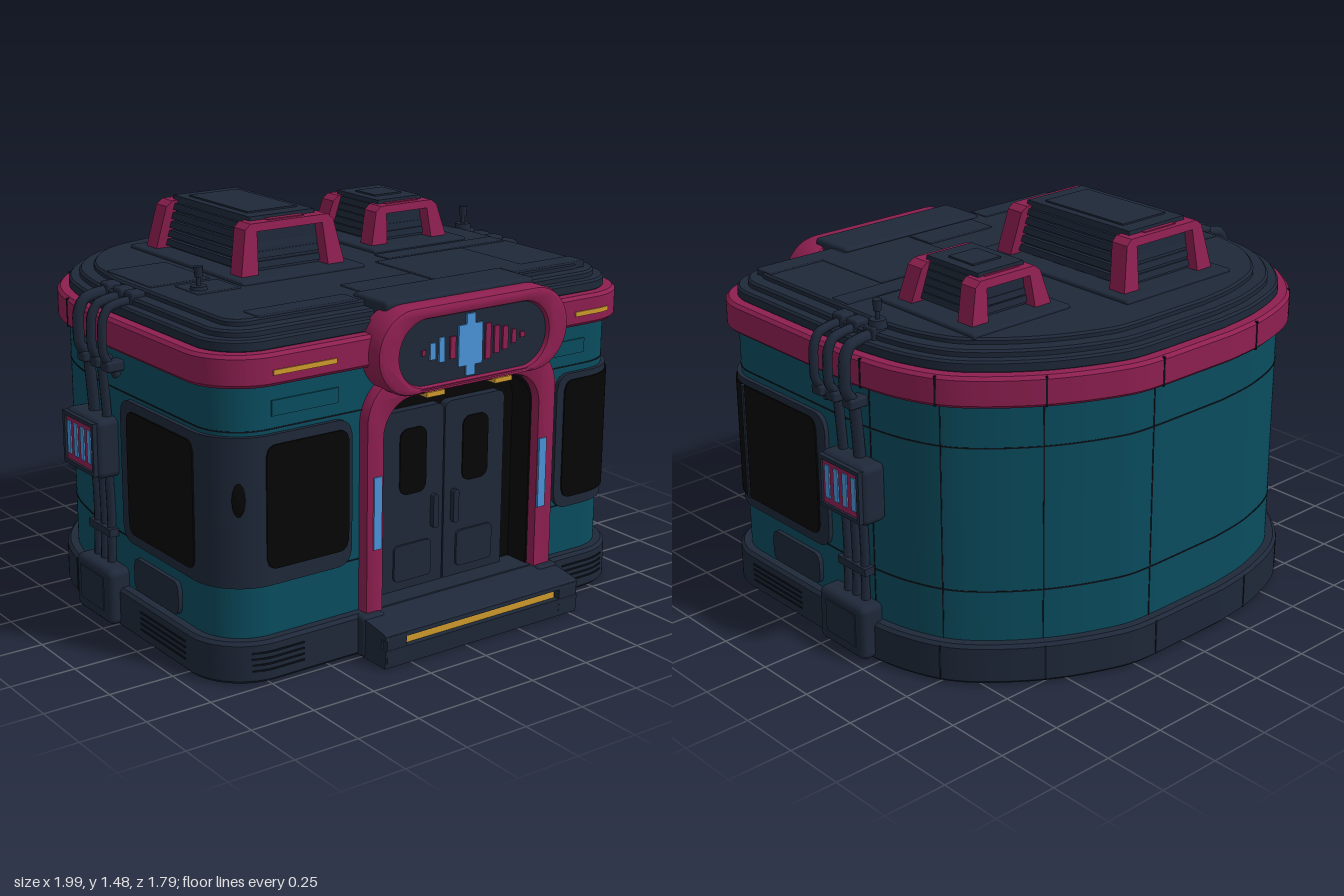
import * as THREE from 'three';
import { toCreasedNormals } from 'three/addons/utils/BufferGeometryUtils.js';
import { RoundedBoxGeometry } from 'three/addons/geometries/RoundedBoxGeometry.js';

const mat = (name, color) => Object.assign(new THREE.MeshStandardMaterial({ color }), { name });
const M = {
  navy: mat('navy panel', 0x1e2839), dark: mat('dark seam', 0x0e141d), teal: mat('teal wall', 0x094c5e),
  pink: mat('magenta trim', 0x8e1f50), blue: mat('blue light', 0x4a94d8),
  yellow: mat('amber light', 0xcf9a2c), black: mat('black glass', 0x050505),
};
const v2 = (x, y) => new THREE.Vector2(x, y);
const v3 = (x, y, z) => new THREE.Vector3(x, y, z);

// Footprint in x and z, starting at the back and running past +x, the front and -x
const plan = new THREE.Path();
plan.moveTo(0, -0.9).lineTo(0.12, -0.9);
plan.splineThru([v2(0.3, -0.88), v2(0.57, -0.76), v2(0.8, -0.57), v2(0.9, -0.37), v2(0.94, -0.15)]);
plan.lineTo(0.94, 0.515).absarc(0.72, 0.515, 0.22, 0, Math.PI / 2);
plan.lineTo(-0.72, 0.735).absarc(-0.72, 0.515, 0.22, Math.PI / 2, Math.PI).lineTo(-0.94, -0.2);
plan.splineThru([v2(-0.89, -0.45), v2(-0.8, -0.625), v2(-0.635, -0.785), v2(-0.41, -0.87), v2(-0.2, -0.9)]);
plan.lineTo(0, -0.9);
const N = 360, P = plan.getSpacedPoints(N).slice(0, N), STEP = plan.getLength() / N;

// Footprint point at a sample number, moved inwards by d
function at(s, d) {
  const i = Math.floor(s), t = s - i, g = k => P[(k + 2 * N) % N];
  const off = k => {
    const dir = g(k + 1).clone().sub(g(k - 1)).normalize();
    return v2(g(k).x - dir.y * d, g(k).y + dir.x * d);
  };
  return off(i).lerp(off(i + 1), t);
}
const near = (x, z) => P.reduce((b, p, i) => (p.distanceTo(v2(x, z)) < P[b].distanceTo(v2(x, z)) ? i : b), 0);

export function createModel() {
  const root = new THREE.Group();
  root.name = 'shop building';
  const add = (name, geo, m, x = 0, y = 0, z = 0) => {
    const mesh = new THREE.Mesh(geo, m);
    mesh.name = name;
    mesh.position.set(x, y, z);
    root.add(mesh);
    return mesh;
  };
  // Box given by its limits
  const box = (name, m, x0, x1, y0, y1, z0, z1, r = 0) => {
    const [w, h, d] = [x1 - x0, y1 - y0, z1 - z0];
    const g = r ? new RoundedBoxGeometry(w, h, d, 2, r) : new THREE.BoxGeometry(w, h, d);
    return add(name, g, m, (x0 + x1) / 2, (y0 + y1) / 2, (z0 + z1) / 2);
  };
  // Full storey slab following the footprint
  const slab = (name, m, d, y0, y1, bevel) => {
    const g = new THREE.ExtrudeGeometry(new THREE.Shape(P.map((_, i) => at(i, d + bevel))), {
      depth: y1 - y0 - 2 * bevel, bevelSize: bevel, bevelThickness: bevel, bevelSegments: 1 });
    g.rotateX(Math.PI / 2);
    return add(name, toCreasedNormals(g, 0.5), m, 0, y1 - bevel, 0);
  };
  // Curved panel along part of the footprint, with rounded ends
  const band = (name, m, a, b, y0, y1, dOut, dIn, r = 0) => {
    const n = Math.max(1, Math.ceil((b - a) * 2)), pos = [], idx = [];
    for (let k = 0; k <= n; k++) {
      const s = a + ((b - a) * k) / n, e = Math.min(k, n - k) / n * (b - a) * STEP;
      const c = e < r ? r - Math.sqrt(r * r - (r - e) ** 2) : 0;
      const o = at(s, dOut), i = at(s, dIn);
      pos.push(o.x, y0 + c, o.y, o.x, y1 - c, o.y, i.x, y1 - c, i.y, i.x, y0 + c, i.y);
      if (k < n) for (let j = 0; j < 4; j++) {
        const A = 4 * k + j, B = 4 * k + (j + 1) % 4;
        idx.push(A, B, B + 4, A, B + 4, A + 4);
      }
    }
    const q = 4 * n;
    idx.push(0, 2, 1, 0, 3, 2, q, q + 1, q + 2, q, q + 2, q + 3);
    const g = new THREE.BufferGeometry();
    g.setAttribute('position', new THREE.Float32BufferAttribute(pos, 3));
    g.setIndex(idx);
    return add(name, toCreasedNormals(g, 0.5), m);
  };
  // Rounded rectangle; square at the foot when rb is 0
  const rounded = (x0, x1, y0, y1, r, rb = r, T = THREE.Shape) => {
    const s = new T();
    s.moveTo(x0 + rb, y0).lineTo(x1 - rb, y0);
    if (rb) s.absarc(x1 - rb, y0 + rb, rb, -Math.PI / 2, 0);
    s.lineTo(x1, y1 - r).absarc(x1 - r, y1 - r, r, 0, Math.PI / 2);
    s.lineTo(x0 + r, y1).absarc(x0 + r, y1 - r, r, Math.PI / 2, Math.PI);
    s.lineTo(x0, y0 + rb);
    if (rb) s.absarc(x0 + rb, y0 + rb, rb, Math.PI, Math.PI * 1.5);
    return s;
  };
  const plate = (name, m, shape, z0, z1, hole, bevel = 0) => {
    if (hole) shape.holes.push(hole);
    const g = new THREE.ExtrudeGeometry(shape, { depth: z1 - z0 - bevel, curveSegments: 14,
      bevelEnabled: bevel > 0, bevelSize: bevel, bevelOffset: -bevel, bevelThickness: bevel, bevelSegments: 2 });
    return add(name, toCreasedNormals(g, 0.6), m, 0, 0, z0);
  };

  // Plinth, walls, trim and stepped roof
  const doorR = near(0.46, 0.735), doorL = near(-0.28, 0.735);
  slab('plinth', M.navy, 0, 0, 0.155, 0.012);
  band('wall', M.teal, doorL, doorR + N, 0.13, 1.1, 0.042, 0.15);
  box('wallOverDoor', M.teal, -0.3, 0.48, 0.93, 1.1, 0.55, 0.69);
  slab('trimBand', M.pink, 0, 1.06, 1.175, 0.012);
  [[0.045, 1.17, 1.215], [0.085, 1.2, 1.24], [0.14, 1.23, 1.262]].forEach(([d, a, b]) => slab('roofTier', M.navy, d, a, b, 0.008));
  for (const y of [0.35, 0.9]) band('wallSeam', M.dark, doorL, doorR + N, y - 0.0025, y + 0.0025, 0.04, 0.06);
  for (const [x, z] of [[0.94, -0.2], [0.84, -0.5], [0.57, -0.76], [0.15, -0.9], [-0.35, -0.88], [-0.7, -0.73], [-0.92, -0.35]]) {
    const s = near(x, z);
    if (x > 0) band('wallJoint', M.dark, s - 0.15, s + 0.15, 0.155, 1.06, 0.04, 0.06);
    band('trimJoint', M.dark, s - 0.2, s + 0.2, 1.063, 1.172, -0.002, 0.02);
    band('plinthJoint', M.dark, s - 0.2, s + 0.2, 0.01, 0.145, -0.002, 0.02);
  }

  // Corner windows: one wraps the +x corner, the other has a solid pier
  band('windowFrame', M.navy, near(0.94, 0.03), near(0.56, 0.735), 0.345, 0.875, 0.025, 0.08, 0.06);
  band('cornerGlass', M.black, near(0.94, 0.08), near(0.6, 0.735), 0.385, 0.85, 0.019, 0.035, 0.04);
  const mullion = near(0.94, 0.54);
  band('mullion', M.navy, mullion - 0.5, mullion + 0.5, 0.385, 0.85, 0.014, 0.04);
  band('windowFrame', M.navy, near(-0.375, 0.735), near(-0.94, 0.03), 0.345, 0.885, 0.025, 0.08, 0.06);
  band('frontGlass', M.black, near(-0.405, 0.735), near(-0.735, 0.735), 0.405, 0.85, 0.019, 0.035, 0.04);
  band('sideGlass', M.black, near(-0.94, 0.53), near(-0.94, 0.08), 0.385, 0.85, 0.019, 0.035, 0.04);
  add('cornerPort', new THREE.SphereGeometry(1, 16, 10).scale(0.025, 0.06, 0.02), M.black, -0.83, 0.665, 0.675);

  // Trim lights, service panels and side light boxes
  const span = (a, b) => (a < b ? [a, b] : [b, a]);
  for (const k of [1, -1]) {
    const [l0, l1] = k > 0 ? [0.62, 0.79] : [0.47, 0.725];
    band('trimLight', M.yellow, ...span(near(k * l1, 0.735), near(k * l0, 0.735)), 1.1, 1.118, -0.004, 0.02);
    band('fasciaPanel', M.teal, ...span(near(k * 0.71, 0.735), near(k * 0.44, 0.735)), 0.945, 1.0, 0.036, 0.06);
    band('lowerPanel', M.navy, ...span(near(k * 0.94, 0.1), near(k * 0.94, 0.4)), 0.17, 0.295, 0.025, 0.08, 0.03);
    for (let i = 0; i < 4; i++) {
      const y = 0.045 + i * 0.022;
      band('sideLouvre', M.dark, ...span(near(k * 0.94, 0.19), near(k * 0.94, 0.5)), y, y + 0.006, -0.004, 0.02);
      band('frontLouvre', M.dark, ...span(near(k * 0.82, 0.72), near(k * 0.6, 0.735)), y, y + 0.006, -0.004, 0.02);
    }
    const side = (name, m, x0, x1, ...rest) => box(name, m, ...span(k * x0, k * x1), ...rest);
    side('lightBox', M.navy, 0.88, 0.985, 0.565, 0.79, -0.27, -0.02, 0.025);
    for (const y of [0.58, 0.765]) side('lightBoxRim', M.navy, 0.96, 0.997, y, y + 0.015, -0.255, -0.035);
    for (const z of [-0.26, -0.045]) side('lightBoxRim', M.navy, 0.96, 0.997, 0.58, 0.78, z, z + 0.015);
    side('lightPanel', M.pink, 0.98, 0.988, 0.595, 0.765, -0.245, -0.045);
    for (let i = 0; i < 4; i++) side('lightBar', M.blue, 0.985, 0.993, 0.62, 0.745, -0.085 - i * 0.05, -0.06 - i * 0.05);
    side('pipeFoot', M.navy, 0.88, 0.98, 0.01, 0.225, -0.235, 0.03, 0.025);
    side('pipeFootCover', M.navy, 0.975, 0.984, 0.06, 0.19, -0.19, -0.02);
    // Pipes looping over the trim and down the wall
    const pipe = (pts, r) => add('pipe', new THREE.TubeGeometry(
      new THREE.CatmullRomCurve3(pts.map(([x, y, z]) => v3(k * x, y, z)), false, 'catmullrom', 0.3), 32, r, 8), M.navy);
    for (const [z, r, low] of [[0.01, 0.017, 0.98], [-0.07, 0.018, 0.78], [-0.165, 0.022, 0.78]]) {
      pipe([[0.78, 1.225, z], [0.88, 1.225, z], [0.94, 1.21, z], [0.965, 1.16, z], [0.965, 1.05, z], [0.93, 0.99, z], [0.912, low - 0.02, z]], r);
      side('pipeClamp', M.navy, 0.88, 0.965, 0.98, 1.02, z - 0.028, z + 0.028, 0.01);
      side('pipeCollar', M.navy, 0.8, 0.86, 1.2, 1.26, z - 0.03, z + 0.03, 0.01);
    }
    for (const z of [-0.07, -0.12, -0.17]) pipe([[0.915, 0.58, z], [0.91, 0.4, z], [0.915, 0.2, z]], 0.017);
    side('pipeStrap', M.navy, 0.88, 0.935, 0.33, 0.36, -0.2, -0.04);
  }

  // Recessed entrance with an arch and double doors
  plate('doorArch', M.pink, rounded(-0.34, 0.53, 0.1, 1.02, 0.17, 0), 0.66, 0.74,
    rounded(-0.265, 0.447, 0.13, 0.925, 0.13, 0, THREE.Path), 0.01);
  plate('doorLining', M.black, rounded(-0.32, 0.51, 0.1, 0.97, 0.15, 0), 0.58, 0.7,
    rounded(-0.258, 0.44, 0.13, 0.918, 0.13, 0, THREE.Path));
  box('doorRecess', M.black, -0.32, 0.51, 0.1, 0.96, 0.56, 0.6);
  for (const k of [1, -1]) {
    const c = 0.087, X = (a, b) => span(c + k * a, c + k * b);
    plate('door', M.navy, rounded(...X(0.003, 0.283), 0.145, 0.84, 0.03, 0), 0.6, 0.635);
    plate('doorWindow', M.black, rounded(...X(0.085, 0.205), 0.52, 0.77, 0.035), 0.635, 0.64);
    plate('doorPanel', M.navy, rounded(...X(0.06, 0.23), 0.19, 0.33, 0.02), 0.635, 0.644);
    plate('doorHandle', M.navy, rounded(...X(0.035, 0.06), 0.37, 0.5, 0.012), 0.635, 0.655);
    const lamp = 0.106 + k * 0.156;
    box('doorLight', M.yellow, lamp - 0.04, lamp + 0.04, 0.915, 0.933, 0.68, 0.752);
    box('archLight', M.blue, ...X(0.365, 0.4), 0.39, 0.66, 0.73, 0.746);
    box('archFoot', M.navy, ...X(0.36, 0.46), 0, 0.155, 0.66, 0.77, 0.015);
    box('stepEnd', M.navy, ...X(0.36, 0.445), 0.02, 0.12, 0.8, 0.889);
  }

  // Sloped entrance step with a light set into its front slot
  const step = new THREE.Shape([v2(0.6, 0), v2(0.885, 0), v2(0.89, 0.069), v2(0.862, 0.069), v2(0.862, 0.107), v2(0.89, 0.107),
    v2(0.888, 0.122), v2(0.875, 0.13), v2(0.73, 0.152), v2(0.6, 0.152)]);
  const stepGeo = new THREE.ExtrudeGeometry(step, { depth: 0.9, bevelEnabled: false });
  add('entranceStep', stepGeo.rotateY(-Math.PI / 2), M.navy, 0.535, 0, 0);
  box('stepLight', M.yellow, -0.28, 0.44, 0.07, 0.106, 0.86, 0.868);

  // Sign with its sound-wave bars
  plate('signFrame', M.pink, rounded(-0.335, 0.53, 0.945, 1.26, 0.157), 0.68, 0.795,
    rounded(-0.24, 0.435, 0.97, 1.21, 0.119, 0.119, THREE.Path), 0.018);
  plate('signFace', M.navy, rounded(-0.28, 0.475, 0.96, 1.22, 0.129), 0.68, 0.775);
  box('signHousing', M.navy, -0.25, 0.425, 1.2, 1.275, 0.52, 0.72, 0.015);
  const bars = (name, m, list) => list.forEach(([x, h, w]) => box(name, m, x - w, x + w, 1.09 - h / 2, 1.09 + h / 2, 0.77, 0.782));
  bars('blueWave', M.blue, [[-0.09, 0.06, 0.012], [-0.05, 0.09, 0.012], [0.045, 0.15, 0.02], [0.08, 0.225, 0.02], [0.115, 0.15, 0.018]]);
  bars('pinkWave', M.pink, [[-0.13, 0.02, 0.008], [0, 0.08, 0.012], [0.16, 0.13, 0.012], [0.2, 0.1, 0.012], [0.24, 0.085, 0.012],
    [0.28, 0.05, 0.01], [0.32, 0.02, 0.01]]);

  // Tapered box for the rooftop vents
  const taper = (name, m, x0, x1, y0, y1, z0, z1, k, kz) => {
    const mesh = box(name, m, x0, x1, y0, y1, z0, z1), p = mesh.geometry.attributes.position;
    for (let i = 0; i < p.count; i++) if (p.getY(i) > 0) p.setXYZ(i, p.getX(i) * k, p.getY(i), p.getZ(i) * kz);
    mesh.geometry.computeVertexNormals();
  };
  // Vents: base plate, louvred body and a hoop at each end
  for (const [x0, x1, z0, z1, top] of [[-0.45, 0.01, -0.56, 0.12, 1.475], [0.26, 0.63, -0.445, -0.045, 1.435]]) {
    box('ventBase', M.navy, x0 - 0.04, x1 + 0.045, 1.25, 1.275, z0 - 0.06, z1 + 0.07, 0.01);
    taper('ventBody', M.navy, x0 + 0.06, x1 - 0.06, 1.26, top, z0 + 0.05, z1 - 0.06, 0.84, 0.94);
    box('ventLid', M.navy, x0 + 0.12, x1 - 0.12, top - 0.01, top + 0.006, z0 + 0.13, z1 - 0.14);
    for (let i = 0; i < 5; i++) {
      const y = 1.285 + i * (top - 1.3) / 5, s = 0.042 + i * 0.006;
      taper('ventLouvre', M.navy, x0 + s, x1 - s, y, y + 0.024, z0 + s, z1 - s - 0.01, 0.96, 0.98);
    }
    const t = top - 0.015, w = (x0 + x1) / 2;
    for (const k of [1, -1]) {
      const hoop = new THREE.Shape([v2(x0, 1.27), v2(x0 + 0.075, 1.27), v2(x0 + 0.085, t - 0.03), v2(x1 - 0.085, t - 0.03),
        v2(x1 - 0.075, 1.27), v2(x1, 1.27), v2(x1 - 0.035, t - 0.02), v2(x1 - 0.06, t), v2(x0 + 0.06, t), v2(x0 + 0.035, t - 0.02)]);
      const g = new THREE.ExtrudeGeometry(hoop, { depth: 0.075, bevelEnabled: false }), p = g.attributes.position;
      for (let i = 0; i < p.count; i++) p.setZ(i, p.getZ(i) - k * (p.getY(i) - 1.27) * 0.15);
      g.computeVertexNormals();
      add('ventHoop', g, M.pink, 0, 0, k > 0 ? z1 - 0.075 : z0);
      box('hoopCap', M.pink, w - 0.08, w + 0.08, t - 0.01, t + 0.004, ...span((k > 0 ? z1 : z0) - k * 0.05, (k > 0 ? z1 : z0) - k * 0.09));
    }
  }

  // Roof plates and aerials
  for (const [x0, x1, z0, z1] of [[-0.69, -0.27, 0.5, 0.59], [0.44, 0.79, 0.5, 0.59], [0.13, 0.55, 0.15, 0.51], [0.2, 0.78, 0.05, 0.14],
    [-0.69, -0.51, 0.05, 0.21], [-0.2, 0.12, 0.38, 0.51], [-0.77, -0.52, -0.3, 0.02]])
    box('roofPlate', M.navy, x0, x1, 1.24, 1.267, z0, z1, 0.004);
  for (const [x, z] of [[-0.65, 0.15], [0.82, -0.17]]) {
    add('aerialBase', new THREE.CylinderGeometry(0.03, 0.035, 0.03, 16), M.navy, x, 1.265, z);
    add('aerialMast', new THREE.CylinderGeometry(0.009, 0.009, 0.09, 10), M.navy, x, 1.295, z);
    add('aerialTip', new THREE.CylinderGeometry(0.017, 0.014, 0.04, 12), M.navy, x, 1.33, z);
  }
  return root;
}
